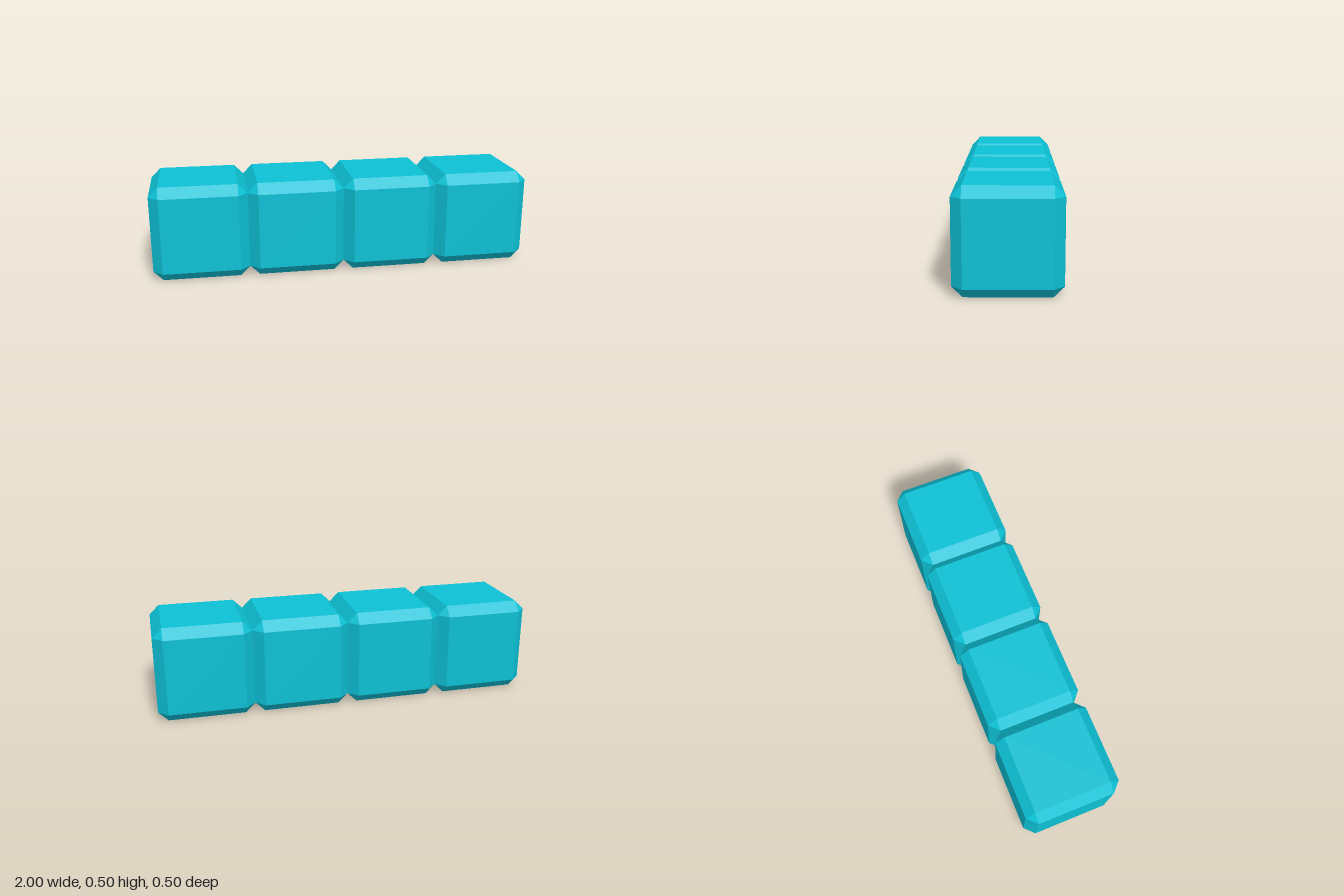
import * as THREE from 'three';
import { ConvexGeometry } from 'three/addons/geometries/ConvexGeometry.js';

const SIZE = 0.5;
const BEVEL = 0.05;
const COUNT = 4;

// Cube with 45 degree edge bevels and triangular corners
function bevelledCube(size, bevel) {
  const outer = size / 2;
  const inner = outer - bevel;
  const points = [];
  for (const sx of [-1, 1]) for (const sy of [-1, 1]) for (const sz of [-1, 1]) {
    points.push(
      new THREE.Vector3(sx * outer, sy * inner, sz * inner),
      new THREE.Vector3(sx * inner, sy * outer, sz * inner),
      new THREE.Vector3(sx * inner, sy * inner, sz * outer)
    );
  }
  return new ConvexGeometry(points);
}

export function createModel() {
  const group = new THREE.Group();
  group.name = 'blockRow';
  const geometry = bevelledCube(SIZE, BEVEL);
  const material = new THREE.MeshStandardMaterial({ color: 0x0cc0d4, flatShading: true });

  // Row of touching blocks along x
  for (let i = 0; i < COUNT; i++) {
    const block = new THREE.Mesh(geometry, material);
    block.name = `block${i + 1}`;
    block.position.set((i - (COUNT - 1) / 2) * SIZE, SIZE / 2, 0);
    group.add(block);
  }
  return group;
}
